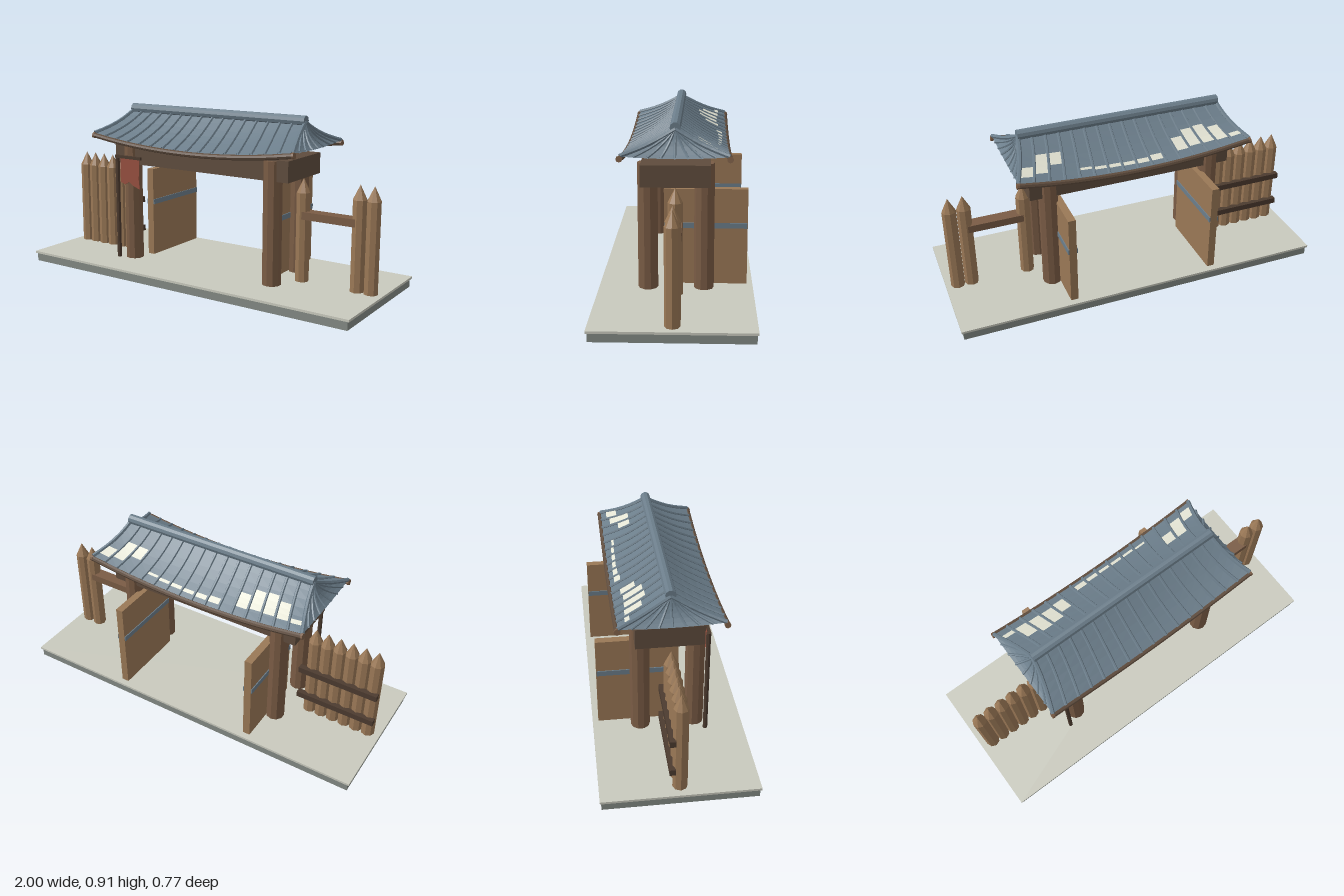
import * as THREE from 'three';

const mat = (name, color, side = THREE.FrontSide) => {
  const m = new THREE.MeshStandardMaterial({ color, side, flatShading: true });
  m.name = name;
  return m;
};

export function createModel() {
  const root = new THREE.Group();
  const paving = mat('palePaving', 0xc9cabe);
  const stone = mat('greyStone', 0x838a84);
  const wood = mat('lightWood', 0x9a7856);
  const timber = mat('brownTimber', 0x7a5c45);
  const beamWood = mat('darkBeam', 0x5f4c3d);
  const darkWood = mat('darkWood', 0x4c3b2f);
  const tile = mat('blueGreyTile', 0x6b7d8a, THREE.DoubleSide);
  const cloth = mat('redCloth', 0x97503f, THREE.DoubleSide);
  const pale = mat('palePatch', 0xe2e2d2, THREE.DoubleSide);

  const add = (name, geo, m, x = 0, y = 0, z = 0, parent = root) => {
    const mesh = new THREE.Mesh(geo, m);
    mesh.name = name;
    mesh.position.set(x, y, z);
    parent.add(mesh);
    return mesh;
  };
  const group = (name) => {
    const g = new THREE.Group();
    g.name = name;
    root.add(g);
    return g;
  };
  // Box given by its min and max corners
  const box = (name, m, x0, x1, y0, y1, z0, z1, parent) =>
    add(name, new THREE.BoxGeometry(x1 - x0, y1 - y0, z1 - z0), m,
      (x0 + x1) / 2, (y0 + y1) / 2, (z0 + z1) / 2, parent);

  // Ground slab
  box('foundation', stone, -0.99, 0.99, 0, 0.045, -0.38, 0.38);
  box('pavement', paving, -1, 1, 0.045, 0.057, -0.387, 0.387);

  // Gate posts and lintel
  for (const x of [-0.45, 0.45]) for (const z of [-0.14, 0.14])
    add('gatePost', new THREE.CylinderGeometry(0.05, 0.05, 0.643, 10), timber, x, 0.3785, z);
  box('lintel', beamWood, -0.552, 0.552, 0.598, 0.707, -0.17, 0.17);

  // Doors swung open to the back, each with a metal band
  for (const s of [-1, 1]) {
    const g = group('door');
    const x = s * 0.395;
    box('doorPanel', wood, x - 0.02, x + 0.02, 0.062, 0.557, -0.357, 0.062, g);
    box('doorBand', tile, x - 0.025, x + 0.025, 0.355, 0.383, -0.356, 0.061, g);
  }

  // Palisade stakes with pointed tops
  const stake = (x) => {
    const g = group('stake');
    add('stakeShaft', new THREE.CylinderGeometry(0.037, 0.037, 0.468, 8), wood, x, 0.291, 0, g);
    add('stakeTip', new THREE.ConeGeometry(0.037, 0.075, 8), wood, x, 0.5625, 0, g);
  };
  for (let i = 0; i < 6; i++) stake(-0.93 + i * 0.068);
  for (const x of [0.55, 0.86, 0.935]) stake(x);
  for (const y of [0.173, 0.345])
    box('fenceRail', darkWood, -0.967, -0.53, y - 0.016, y + 0.016, -0.055, -0.025);
  box('brokenFenceRail', timber, 0.55, 0.86, 0.39, 0.43, -0.034, 0.034);

  // Banner on its pole
  const banner = group('banner');
  add('bannerPole', new THREE.CylinderGeometry(0.012, 0.012, 0.588, 8), darkWood, -0.523, 0.351, 0.191, banner);
  box('bannerArm', darkWood, -0.53, -0.35, 0.629, 0.645, 0.19, 0.204, banner);
  const flag = new THREE.Shape([
    [-0.495, 0.63], [-0.495, 0.495], [-0.465, 0.483], [-0.435, 0.5],
    [-0.41, 0.483], [-0.36, 0.465], [-0.366, 0.52], [-0.36, 0.63],
  ].map(([x, y]) => new THREE.Vector2(x, y)));
  add('bannerCloth', new THREE.ExtrudeGeometry(flag, { depth: 0.005, bevelEnabled: false }),
    cloth, 0, 0, 0.195, banner);

  // Roof: v runs from ridge to eave, u along the eave
  const roof = group('roof');
  const eaveY = (u) => 0.715 + 0.05 * u * u;
  const halfX = (v) => 0.55 + 0.075 * Math.pow(v, 1.4);
  const drop = (v, yEnd) => 0.878 + (yEnd - 0.878) * v - 0.012 * Math.sin(Math.PI * v);
  const slope = (s) => (u, v, lift = 0) =>
    new THREE.Vector3(u * halfX(v), drop(v, eaveY(u)) + lift, s * 0.257 * v);
  const hip = (s) => (u, v, lift = 0) =>
    new THREE.Vector3(s * halfX(v), drop(v, 0.755 + 0.01 * u * u) + lift, u * 0.257 * v);

  // Sheet following a surface between two u and two v limits
  const sheet = (fn, u0, u1, v0, v1, nu, nv, lift = 0) => {
    const geo = new THREE.PlaneGeometry(1, 1, nu, nv);
    const p = geo.attributes.position;
    for (let i = 0; i < p.count; i++) {
      const q = fn(u0 + (u1 - u0) * (p.getX(i) + 0.5), v0 + (v1 - v0) * (0.5 - p.getY(i)), lift);
      p.setXYZ(i, q.x, q.y, q.z);
    }
    geo.computeVertexNormals();
    return geo;
  };
  const rib = (fn, u, r) => {
    const pts = [0, 0.25, 0.5, 0.75, 1].map((v) => fn(u, v, 0.003));
    add('tileRib', new THREE.TubeGeometry(new THREE.CatmullRomCurve3(pts), 6, r, 6), tile, 0, 0, 0, roof);
  };

  for (const s of [-1, 1]) {
    add('roofSlope', sheet(slope(s), -1, 1, 0, 1, 16, 6), tile, 0, 0, 0, roof);
    add('roofEnd', sheet(hip(s), -1, 1, 0, 1, 8, 6), tile, 0, 0, 0, roof);
    for (let i = -8; i <= 8; i++) rib(slope(s), i / 8, Math.abs(i) === 8 ? 0.011 : 0.008);
    for (let i = -3; i <= 3; i++) rib(hip(s), i / 4, 0.007);

    // Curved eave beam with end caps
    const pts = [];
    for (let i = -4; i <= 4; i++)
      pts.push(new THREE.Vector3(i / 4 * 0.628, eaveY(i / 4) - 0.011, s * 0.259));
    add('eaveBeam', new THREE.TubeGeometry(new THREE.CatmullRomCurve3(pts), 24, 0.014, 8),
      beamWood, 0, 0, 0, roof);
    for (const e of [-1, 1]) {
      const cap = add('eaveCap', new THREE.CylinderGeometry(0.016, 0.016, 0.012, 8), timber,
        e * 0.628, 0.754, s * 0.259, roof);
      cap.rotation.z = Math.PI / 2 + e * 0.16;
    }
  }
  const ridge = add('ridge', new THREE.CylinderGeometry(0.027, 0.027, 1.11, 10), tile, 0, 0.888, 0, roof);
  ridge.rotation.z = Math.PI / 2;

  // Bare patches on the back slope: [gap between ribs, v start, v end]
  const patches = [
    [-8, 0.76, 0.85], [-7, 0.5, 0.83], [-6, 0.41, 0.81], [-5, 0.43, 0.8], [-4, 0.55, 0.83],
    [-2, 0.79, 0.91], [-1, 0.82, 0.91], [0, 0.83, 0.9], [1, 0.82, 0.89], [2, 0.82, 0.88], [3, 0.8, 0.85],
    [5, 0.42, 0.66], [6, 0.42, 0.82], [7, 0.66, 0.88],
  ];
  for (const [k, v0, v1] of patches)
    add('barePatch', sheet(slope(-1), (k + 0.1) / 8, (k + 0.9) / 8, v0, v1, 1, 3, 0.005), pale, 0, 0, 0, roof);

  return root;
}
